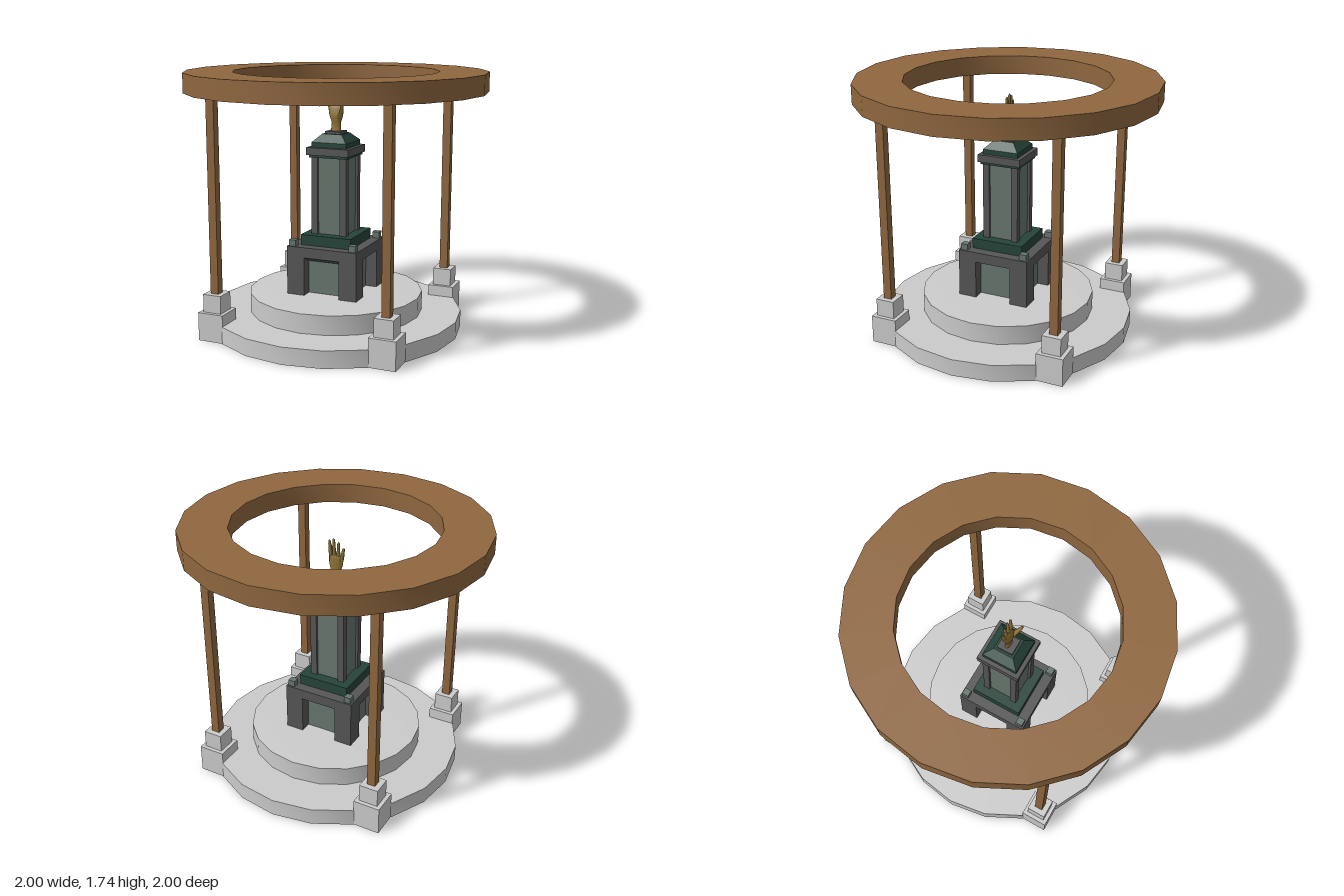
import * as THREE from 'three';
import { toCreasedNormals } from 'three/addons/utils/BufferGeometryUtils.js';

const material = (color, flatShading = false) => new THREE.MeshStandardMaterial({ color, flatShading });
const stone = material(0xcccccc);
const wood = material(0x8f673f);
const darkStone = material(0x565656, true);
const panelGreen = material(0x67766d, true);
const darkGreen = material(0x26443a, true);
const gold = material(0x8f7436);

export function createModel() {
  const model = new THREE.Group();

  function add(name, geometry, mat, parent = model) {
    const mesh = new THREE.Mesh(geometry, mat);
    mesh.name = name;
    parent.add(mesh);
    return mesh;
  }

  // Square block from y0 to y1, centred on (x, z), given by half widths
  function block(name, half, y0, y1, mat, x = 0, z = 0, parent = model) {
    const g = new THREE.BoxGeometry(half * 2, y1 - y0, half * 2);
    g.translate(x, (y0 + y1) / 2, z);
    return add(name, g, mat, parent);
  }

  // Square block whose sides slope from one half width to another
  function slopedBlock(name, bottom, top, y0, y1, mat) {
    const g = new THREE.CylinderGeometry(top * Math.SQRT2, bottom * Math.SQRT2, y1 - y0, 4);
    g.rotateY(Math.PI / 4).translate(0, (y0 + y1) / 2, 0);
    return add(name, g, mat);
  }

  // Twenty-sided turned part with crisp rims
  function turned(name, profile, mat) {
    const points = profile.map(([r, y]) => new THREE.Vector2(r, y));
    return add(name, toCreasedNormals(new THREE.LatheGeometry(points, 20), Math.PI / 6), mat);
  }

  // The same part at all four corners
  const atCorners = (fn) => {
    for (const x of [-1, 1]) for (const z of [-1, 1]) fn(x, z);
  };

  // Round base with its raised tier
  turned('lowerBase', [[0, 0], [0.855, 0], [0.855, 0.115], [0, 0.115]], stone);
  turned('upperBase', [[0, 0.1], [0.59, 0.1], [0.59, 0.245], [0.46, 0.25], [0, 0.25]], stone);

  // Four posts on stepped footings
  atCorners((sx, sz) => {
    const post = new THREE.Group();
    post.name = 'post';
    const x = sx * 0.595, z = sz * 0.595;
    block('lowerFooting', 0.09, 0, 0.19, stone, x, z, post);
    block('upperFooting', 0.064, 0.19, 0.31, stone, x, z, post);
    block('postShaft', 0.028, 0.31, 1.61, wood, x, z, post);
    model.add(post);
  });

  // Wooden ring carried by the posts
  turned('ring', [[0.68, 1.605], [1, 1.605], [1, 1.735], [0.68, 1.735], [0.68, 1.605]], wood);

  // Plinth: corner legs, recessed panels, sloped lintel
  atCorners((sx, sz) => {
    block('plinthLeg', 0.0625, 0.245, 0.51, darkStone, sx * 0.1875, sz * 0.1875);
    block('plinthStud', 0.024, 0.58, 0.622, panelGreen, sx * 0.215, sz * 0.215);
  });
  block('plinthPanels', 0.17, 0.245, 0.475, panelGreen);
  slopedBlock('plinthLintel', 0.17, 0.25, 0.472, 0.51, darkStone);
  block('plinthTop', 0.25, 0.51, 0.58, darkStone);
  block('columnFoot', 0.18, 0.58, 0.65, darkGreen);

  // Column: green core between corner strips
  block('columnCore', 0.108, 0.65, 1.18, panelGreen);
  atCorners((sx, sz) => block('columnStrip', 0.0225, 0.65, 1.18, darkStone, sx * 0.1025, sz * 0.1025));
  block('columnCollar', 0.137, 1.17, 1.19, darkGreen);
  block('columnCap', 0.15, 1.187, 1.237, darkStone);
  block('capBlock', 0.123, 1.237, 1.27, darkGreen);
  slopedBlock('capSlope', 0.123, 0.07, 1.27, 1.322, darkGreen);
  block('handPlate', 0.055, 1.322, 1.338, darkStone);

  // Limb through rings of [x, y, z, half width, half depth], bottom to top
  const hand = new THREE.Group();
  hand.name = 'hand';
  model.add(hand);
  function limb(name, rings) {
    const sides = 12, position = [], index = [];
    rings.forEach(([x, y, z, rx, rz], j) => {
      for (let i = 0; i < sides; i++) {
        const t = (i / sides) * Math.PI * 2;
        position.push(x + Math.sin(t) * rx, y, z + Math.cos(t) * rz);
        if (j === rings.length - 1) continue;
        const a = j * sides + i, b = j * sides + ((i + 1) % sides);
        index.push(a, b, a + sides, b, b + sides, a + sides);
      }
    });
    const g = new THREE.BufferGeometry();
    g.setAttribute('position', new THREE.Float32BufferAttribute(position, 3));
    g.setIndex(index);
    g.computeVertexNormals();
    add(name, g, gold, hand);
  }

  limb('palm', [
    [0, 1.335, 0, 0.037, 0.018], [0, 1.36, 0, 0.034, 0.015], [0.002, 1.395, 0, 0.033, 0.016],
    [0.003, 1.425, 0.004, 0.044, 0.02], [0.001, 1.455, 0.003, 0.051, 0.019],
    [-0.003, 1.49, -0.002, 0.052, 0.016], [-0.003, 1.51, -0.005, 0.048, 0.013], [-0.003, 1.52, -0.006, 0.001, 0.001],
  ]);

  // Fingers: start x, tip x, tip height, tip z
  for (const [x0, x1, top, z1] of [
    [-0.044, -0.06, 1.575, -0.008], [-0.019, -0.026, 1.612, -0.014],
    [0.008, 0.009, 1.632, -0.016], [0.033, 0.042, 1.615, -0.012],
  ]) {
    const shape = [[0, 0.012], [0.3, 0.0125], [0.55, 0.0105], [0.8, 0.0095], [0.94, 0.0075], [1, 0.001]];
    limb('finger', shape.map(([t, r]) => [
      x0 + (x1 - x0) * t, 1.485 + (top - 1.485) * t, -0.004 + (z1 + 0.004) * t, r, r,
    ]));
  }

  limb('thumb', [
    [0.022, 1.4, 0.004, 0.012, 0.01], [0.036, 1.43, 0.015, 0.016, 0.015], [0.049, 1.46, 0.028, 0.015, 0.015],
    [0.059, 1.49, 0.041, 0.012, 0.013], [0.064, 1.515, 0.051, 0.011, 0.011],
    [0.067, 1.535, 0.057, 0.008, 0.008], [0.068, 1.545, 0.06, 0.001, 0.001],
  ]);

  return model;
}
